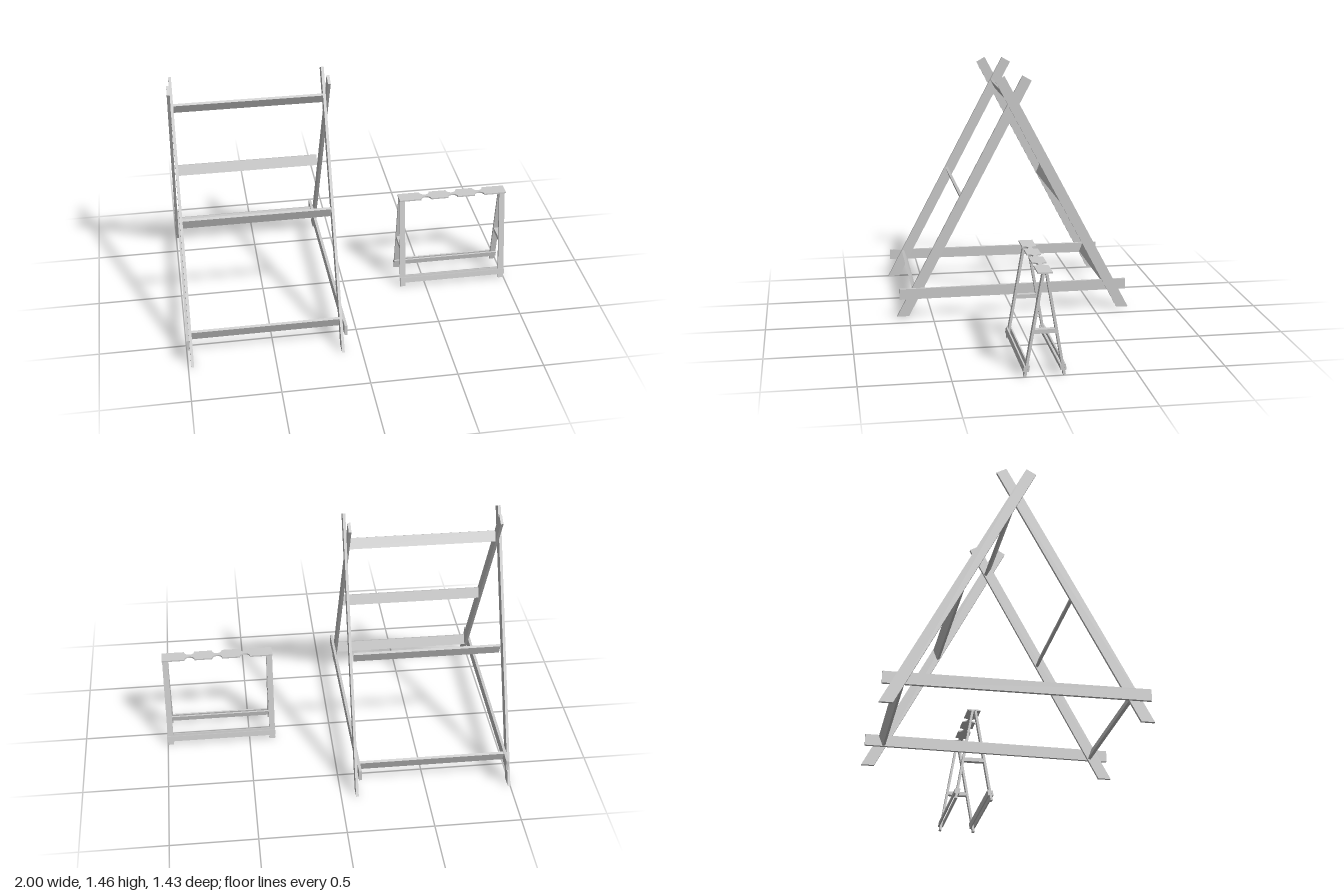
import * as THREE from 'three';

const material = new THREE.MeshStandardMaterial({ color: 0xcccccc, flatShading: true });

function add(parent, name, geometry, x = 0, y = 0, z = 0) {
  const mesh = new THREE.Mesh(geometry, material);
  mesh.name = name;
  mesh.position.set(x, y, z);
  parent.add(mesh);
  return mesh;
}

function box(parent, name, w, h, d, x, y, z) {
  return add(parent, name, new THREE.BoxGeometry(w, h, d), x, y, z);
}

// Outline given as [z, y] points, given thickness along x and centred on x
function sidePlate(parent, name, points, thickness, x) {
  const shape = new THREE.Shape(points.map(([z, y]) => new THREE.Vector2(-z, y)));
  const geometry = new THREE.ExtrudeGeometry(shape, { depth: thickness, bevelEnabled: false });
  geometry.translate(0, 0, -thickness / 2).rotateY(Math.PI / 2);
  return add(parent, name, geometry, x);
}

// Tall A-shaped stand: crossed legs, skewed base planks and tilted crossbars
function createStand() {
  const stand = new THREE.Group();
  stand.name = 'largeStand';
  const middle = -0.542, t = 0.016;
  const leg = [[0.715, 0.008], [0.643, 0.008], [-0.109, 1.432], [-0.055, 1.463]];

  for (const side of [-1, 1]) {
    const inner = middle + side * 0.433, outer = middle + side * 0.449;
    sidePlate(stand, 'frontLeg', leg, t, inner);
    sidePlate(stand, 'backLeg', leg.map(([z, y]) => [-z, y]), t, outer);
    // Base plank runs outside the front leg and inside the back leg
    const plank = box(stand, 'basePlank', t, 0.065, 1.4, middle + side * 0.441, 0.152, 0);
    plank.rotation.y = side * Math.atan(t / 1.2);
  }

  const bars = [
    [1.293, 0, 0.49],
    [0.712, 0.304, 0.36], [0.712, -0.304, -0.36],
    [0.152, 0.604, 0.36], [0.152, -0.604, -0.36],
  ];
  for (const [y, z, tilt] of bars) {
    box(stand, 'crossbar', 0.856, 0.064, t, middle, y, z).rotation.x = tilt;
  }
  return stand;
}

// Small trestle: two A-frames, paired foot rails and a notched top board
function createTrestle() {
  const trestle = new THREE.Group();
  trestle.name = 'smallTrestle';
  const middle = 0.671, lean = Math.atan(0.173);
  const legZ = y => 0.108 - 0.173 * y;

  for (const side of [-1, 1]) {
    const x = middle + side * 0.311;
    for (const face of [-1, 1]) {
      const leg = box(trestle, 'trestleLeg', 0.034, 0.58, 0.014, x, 0.287, face * legZ(0.287));
      leg.rotation.x = -face * lean;
    }
    const low = legZ(0.24), high = legZ(0.263);
    sidePlate(trestle, 'legTie', [[low, 0.24], [-low, 0.24], [-high, 0.263], [high, 0.263]], 0.03, x);
  }

  for (const face of [-1, 1]) {
    for (const offset of [-0.0115, 0.0115]) {
      const rail = box(trestle, 'footRail', 0.658, 0.033, 0.009, middle, 0.046, face * (legZ(0.046) + offset));
      rail.rotation.x = -face * lean;
    }
  }

  // Top board with three round notches along each long edge
  const half = 0.329, depth = 0.04, r = 0.03;
  const notches = [-0.165, 0, 0.165];
  const shape = new THREE.Shape();
  shape.moveTo(-half, -depth);
  for (const n of notches) {
    shape.lineTo(n - r, -depth);
    shape.absarc(n, -depth, r, Math.PI, 0, true);
  }
  shape.lineTo(half, -depth);
  shape.lineTo(half, depth);
  for (const n of [...notches].reverse()) {
    shape.lineTo(n + r, depth);
    shape.absarc(n, depth, r, 0, -Math.PI, true);
  }
  shape.lineTo(-half, depth);
  shape.closePath();
  const board = new THREE.ExtrudeGeometry(shape, { depth: 0.008, bevelEnabled: false, curveSegments: 10 });
  board.rotateX(-Math.PI / 2);
  add(trestle, 'notchedTopBoard', board, middle, 0.571, 0);
  return trestle;
}

export function createModel() {
  const model = new THREE.Group();
  model.name = 'standAndTrestle';
  model.add(createStand(), createTrestle());
  return model;
}
